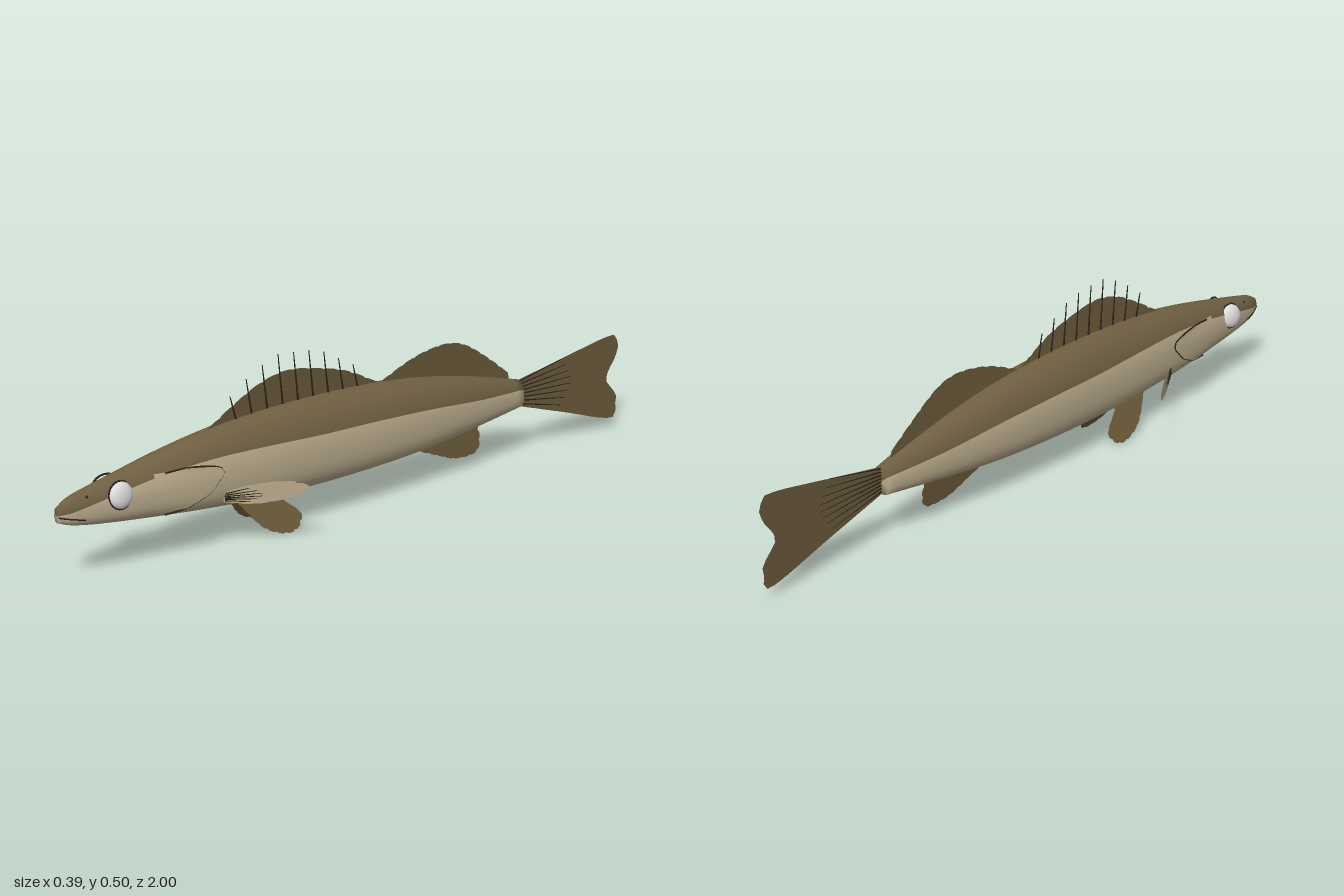
import * as THREE from 'three';

const mat = (name, color, side = THREE.DoubleSide) => {
  const m = new THREE.MeshStandardMaterial({ color, side });
  m.name = name;
  return m;
};

// Body stations: z, top, bottom, half width, height of the colour line
const STATIONS = [
  [-0.585, 0.245, 0.16, 0.03, 0.22], [-0.4, 0.295, 0.138, 0.055, 0.235],
  [-0.2, 0.335, 0.117, 0.074, 0.256], [0, 0.355, 0.107, 0.083, 0.268],
  [0.2, 0.361, 0.105, 0.084, 0.273], [0.4, 0.354, 0.112, 0.08, 0.28],
  [0.55, 0.338, 0.123, 0.073, 0.28], [0.7, 0.312, 0.139, 0.062, 0.268],
  [0.83, 0.284, 0.154, 0.046, 0.245], [0.92, 0.264, 0.167, 0.033, 0.226],
  [0.97, 0.25, 0.178, 0.023, 0.216], [1, 0.232, 0.19, 0.01, 0.212],
];
const spline = (rows) => new THREE.CubicInterpolant(
  rows.map((r) => r[0]), rows.flatMap((r) => r.slice(1)), rows[0].length - 1);
const bodySpline = spline(STATIONS);
const SQUARE = 2.7; // squareness of the belly

function section(z) {
  const [top, bottom, w, split] = bodySpline.evaluate(z);
  return { top, bottom, w, split, mid: bottom + (top - bottom) * 0.45 };
}

// Half width of the body surface at a given z and y
function surfaceX(z, y) {
  const s = section(z);
  const n = y > s.mid ? 2 : SQUARE;
  const u = Math.abs(y - s.mid) / (y > s.mid ? s.top - s.mid : s.mid - s.bottom);
  return s.w * Math.pow(Math.max(0, 1 - Math.pow(u, n)), 1 / n);
}

// Closed body: each ring holds a back arc and a belly arc, one group for each
function bodyGeometry() {
  const RINGS = 72, UP = 16, LOW = 22, N = UP + LOW;
  const pos = [], back = [], belly = [];
  for (let i = 0; i <= RINGS + 2; i++) {
    const t = THREE.MathUtils.clamp((i - 1) / RINGS, 0, 1);
    const z = 1 - 1.585 * Math.pow(t, 1.2);
    const k = i === 0 || i === RINGS + 2 ? 0 : 1;
    const s = section(z);
    const a0 = Math.asin(THREE.MathUtils.clamp((s.split - s.mid) / (s.top - s.mid), 0, 0.9));
    for (let j = 0; j < N; j++) {
      const a = j < UP ? a0 + (Math.PI - 2 * a0) * (j / UP)
        : Math.PI - a0 + (Math.PI + 2 * a0) * ((j - UP) / LOW);
      const c = Math.cos(a), sn = Math.sin(a), e = sn >= 0 ? 1 : 2 / SQUARE;
      const h = sn >= 0 ? s.top - s.mid : s.mid - s.bottom;
      pos.push(k * s.w * Math.sign(c) * Math.pow(Math.abs(c), e),
        s.mid + k * h * Math.sign(sn) * Math.pow(Math.abs(sn), e), z);
    }
  }
  for (let i = 0; i < RINGS + 2; i++) {
    for (let j = 0; j < N; j++) {
      const a = i * N + j, b = i * N + (j + 1) % N;
      (j < UP ? back : belly).push(a, a + N, b, b, a + N, b + N);
    }
  }
  const g = new THREE.BufferGeometry();
  g.setAttribute('position', new THREE.Float32BufferAttribute(pos, 3));
  g.setIndex([...back, ...belly]);
  g.addGroup(0, back.length, 0);
  g.addGroup(back.length, belly.length, 1);
  g.computeVertexNormals();
  return g;
}

// Thin fin: a curved, lightly notched rim closed by its root; place(u, y) sets it in space
function finGeometry(rim, root, place, notch = 0.03) {
  const curve = new THREE.SplineCurve(rim.map((p) => new THREE.Vector2(...p)));
  const centre = curve.getPoint(0).add(curve.getPoint(1)).multiplyScalar(0.5);
  const pts = curve.getSpacedPoints(48).map((p, i) =>
    (i % 4 === 0 && i > 0 && i < 48 ? p.lerp(centre, notch) : p));
  const g = new THREE.ShapeGeometry(new THREE.Shape([...pts, ...root.map((p) => new THREE.Vector2(...p))]));
  const p = g.attributes.position;
  for (let i = 0; i < p.count; i++) p.setXYZ(i, ...place(p.getX(i), p.getY(i)));
  g.computeVertexNormals();
  return g;
}

// Tapered rod between two points
function rodGeometry(a, b, r) {
  const from = new THREE.Vector3(...a), dir = new THREE.Vector3(...b).sub(from);
  const g = new THREE.CylinderGeometry(r * 0.4, r, dir.length(), 6);
  g.translate(0, dir.length() / 2, 0);
  g.applyQuaternion(new THREE.Quaternion().setFromUnitVectors(
    new THREE.Vector3(0, 1, 0), dir.clone().normalize()));
  return g.translate(...a);
}

const tube = (pts, r) => new THREE.TubeGeometry(
  new THREE.CatmullRomCurve3(pts.map((p) => new THREE.Vector3(...p))), 32, r, 6);

export function createModel() {
  const back = mat('olive brown back', 0x6f5f42, THREE.FrontSide);
  const belly = mat('pale tan belly', 0xb8a98a);
  const finBrown = mat('fin brown', 0x6b5a3b);
  const dark = mat('dark brown', 0x2a2318);
  const white = mat('eye white', 0xdcdcdc, THREE.FrontSide);

  const model = new THREE.Group();
  const add = (name, geometry, material, parent = model) => {
    const m = new THREE.Mesh(geometry, material);
    m.name = name;
    parent.add(m);
    return m;
  };

  add('body', bodyGeometry(), [back, belly]);

  // Middle fins, leaning a touch to one side as they rise
  const upright = (z, y) => [Math.max(0, y - 0.34) * 0.065, y, z];
  add('frontDorsalFin', finGeometry(
    [[0.54, 0.335], [0.435, 0.4], [0.355, 0.44], [0.27, 0.457], [0.17, 0.442], [0.06, 0.41], [-0.055, 0.35]],
    [[-0.04, 0.33], [0.2, 0.34]], upright, 0.02), finBrown);
  add('rearDorsalFin', finGeometry(
    [[-0.055, 0.348], [-0.15, 0.39], [-0.23, 0.412], [-0.31, 0.417], [-0.38, 0.395], [-0.47, 0.335], [-0.545, 0.275]],
    [[-0.55, 0.245], [-0.4, 0.28], [-0.2, 0.32]], upright, 0.02), finBrown);
  add('analFin', finGeometry(
    [[-0.15, 0.125], [-0.26, 0.08], [-0.34, 0.05], [-0.42, 0.052], [-0.437, 0.095], [-0.425, 0.15]],
    [[-0.3, 0.14]], (z, y) => [(0.12 - y) * 0.08, y, z]), finBrown);
  add('tailFin', finGeometry(
    [[-0.57, 0.24], [-0.76, 0.276], [-0.95, 0.31], [-0.985, 0.297], [-0.993, 0.25], [-0.95, 0.175],
      [-0.993, 0.11], [-0.995, 0.075], [-0.97, 0.036], [-0.77, 0.1], [-0.57, 0.165]],
    [], (z, y) => [(-0.57 - z) * 0.012, y, z], 0.008), finBrown);

  // Spines of the front dorsal fin
  const spineTops = [0.42, 0.46, 0.49, 0.51, 0.506, 0.5, 0.485, 0.455, 0.425];
  spineTops.forEach((top, i) => {
    const z = 0.457 - i * 0.052;
    add('dorsalSpine', rodGeometry(upright(z - 0.022, 0.345), upright(z, top), 0.0035), dark);
  });

  // Rays of the tail
  for (let i = 0; i < 8; i++) {
    const t = i / 7;
    add('tailRay', rodGeometry([0, 0.17 + 0.065 * t, -0.575],
      [0.003, 0.125 + 0.15 * t, -0.76 - 0.04 * Math.sin(t * Math.PI)], 0.0025), dark);
  }

  // Gill cover edge: y to z
  const gillEdge = spline([[0.16, 0.64], [0.19, 0.575], [0.215, 0.55], [0.245, 0.53], [0.262, 0.555], [0.274, 0.64]]);
  const gillLift = 0.005;

  for (const side of [1, -1]) {
    const half = new THREE.Group();
    half.name = side > 0 ? 'leftSide' : 'rightSide';
    model.add(half);

    // Eye with a dark rim
    const eye = add('eye', new THREE.SphereGeometry(1, 28, 20), white, half);
    eye.scale.set(0.018, 0.036, 0.037);
    const rim = add('eyeRim', new THREE.TorusGeometry(0.037, 0.003, 6, 36).rotateY(Math.PI / 2), dark, half);
    for (const m of [eye, rim]) {
      m.position.set(side * 0.043, 0.239, 0.83);
      m.rotation.set(0, side * 0.12, side * 0.22);
    }
    rim.position.x = side * 0.041;

    // Gill cover, lifting off the body towards its rear edge
    const cover = new THREE.PlaneGeometry(1, 1, 14, 18);
    const p = cover.attributes.position;
    for (let i = 0; i < p.count; i++) {
      const u = p.getX(i) + 0.5, y = 0.217 + p.getY(i) * 0.114;
      const z = THREE.MathUtils.lerp(0.73, gillEdge.evaluate(y)[0], u);
      p.setXYZ(i, side * (surfaceX(z, y) + 0.0005 + gillLift * u), y, z);
    }
    if (side > 0) cover.index.array.reverse();
    cover.computeVertexNormals();
    add('gillCover', cover, belly, half);
    const edge = [[0.7, 0.272]];
    for (let i = 0; i <= 10; i++) {
      const y = 0.274 - i * 0.0114;
      edge.push([gillEdge.evaluate(y)[0], y]);
    }
    edge.push([0.7, 0.15]);
    add('gillEdge', tube(edge.map(([z, y]) => [side * (surfaceX(z, y) + gillLift * 0.6), y, z]), 0.0026), dark, half);

    // Mouth line and nostril
    add('mouth', tube([[1, 0.207], [0.985, 0.203], [0.96, 0.197], [0.93, 0.19]]
      .map(([z, y]) => [side * surfaceX(z, y), y, z]), 0.0022), dark, half);
    const nostril = add('nostril', new THREE.SphereGeometry(0.004, 8, 6), dark, half);
    nostril.position.set(side * surfaceX(0.92, 0.25), 0.25, 0.92);

    // Pectoral fin, swept outwards and back
    const sweep = (x, y) => [side * x, y, 0.52 - (x - 0.07) * 1.52];
    add('pectoralFin', finGeometry(
      [[0.066, 0.178], [0.1, 0.196], [0.14, 0.206], [0.172, 0.205], [0.195, 0.188], [0.18, 0.167], [0.15, 0.151],
        [0.11, 0.142], [0.066, 0.15]], [], sweep, 0.05), belly, half);
    for (let i = 0; i < 6; i++) {
      const t = i / 5;
      add('pectoralRay', rodGeometry(sweep(0.068, 0.154 + 0.02 * t),
        sweep(0.105 + 0.02 * Math.sin(t * Math.PI), 0.149 + 0.04 * t), 0.002), dark, half);
    }

    // Pelvic fin, splayed under the belly
    add('pelvicFin', finGeometry(
      [[0.46, 0.125], [0.4, 0.045], [0.345, 0.012], [0.29, 0.008], [0.26, 0.045], [0.31, 0.095], [0.315, 0.125]],
      [], (z, y) => [side * (0.026 + (0.11 - y) * 0.45), Math.max(0, y), z]), finBrown, half);
  }
  return model;
}
